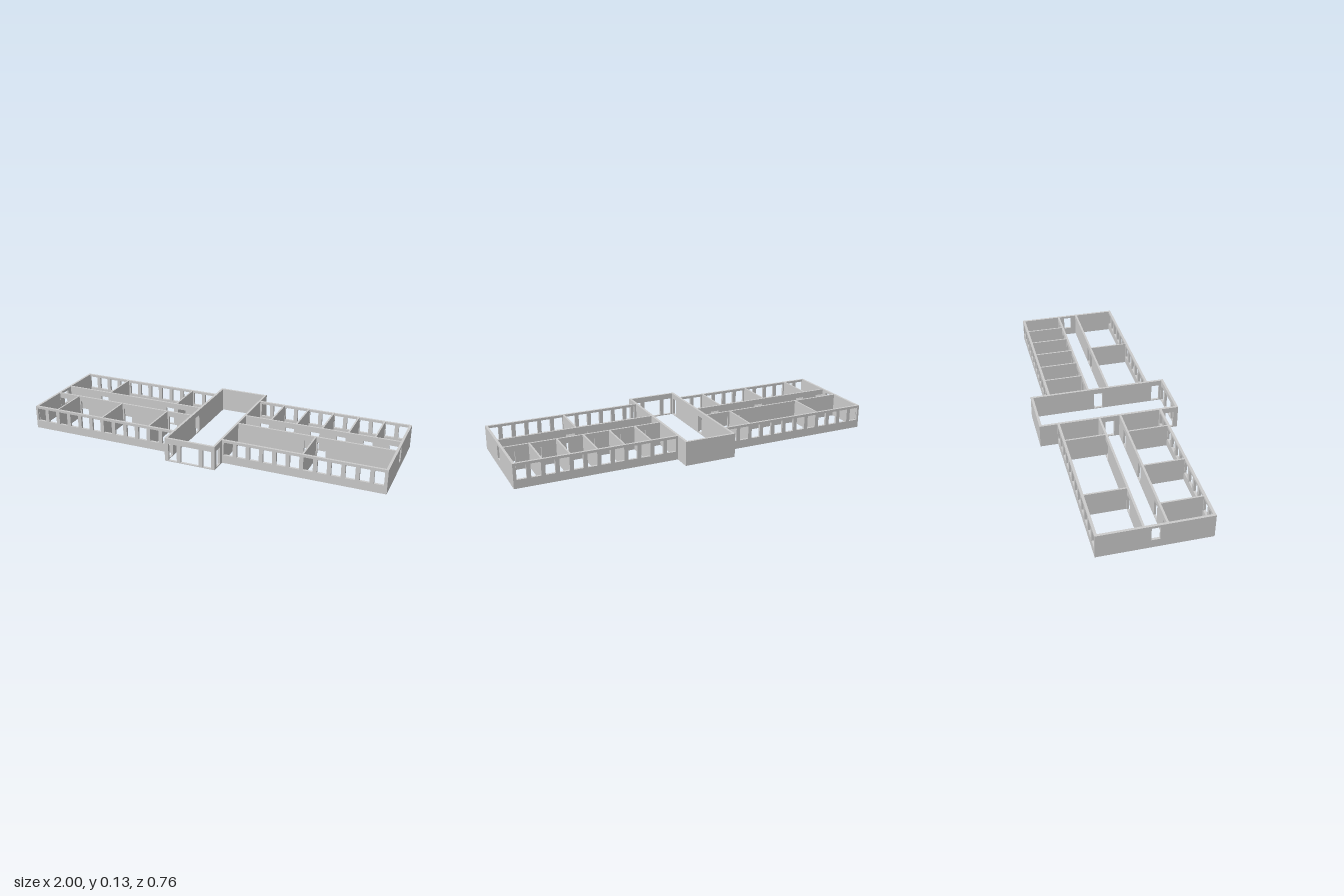
import * as THREE from 'three';

const H = 0.13;          // wall height
const T = 0.013;         // outer wall thickness
const TC = 0.011;        // corridor wall thickness
const TP = 0.009;        // partition thickness
const material = new THREE.MeshStandardMaterial({ color: 0xcccccc, flatShading: true });

// Openings: centre along the wall, width, bottom, top
const windowAt = (c, w = 0.05) => [c, w, 0.045, 0.117];
const doorAt = (c, w = 0.048) => [c, w, 0.005, 0.1];

// Upright wall with rectangular openings, running along x or z, centred on `at` in the other axis
function wall(name, axis, from, to, at, thickness, openings = []) {
  const rect = (target, a, b, y0, y1) => {
    target.moveTo(a, y0);
    target.lineTo(b, y0);
    target.lineTo(b, y1);
    target.lineTo(a, y1);
    target.closePath();
    return target;
  };
  const shape = rect(new THREE.Shape(), from, to, 0, H);
  for (const [c, w, y0, y1] of openings) {
    shape.holes.push(rect(new THREE.Path(), c - w / 2, c + w / 2, y0, y1));
  }
  const geometry = new THREE.ExtrudeGeometry(shape, { depth: thickness, bevelEnabled: false });
  geometry.translate(0, 0, -thickness / 2);
  if (axis === 'z') geometry.rotateY(-Math.PI / 2).translate(at, 0, 0);
  else geometry.translate(0, 0, at);
  const mesh = new THREE.Mesh(geometry, material);
  mesh.name = name;
  return mesh;
}

// Central hall, projecting in front of and behind the wings
const hall = { x0: -0.143, x1: 0.14, z0: -0.381, z1: 0.381 };
const wing = { z0: -0.286, z1: 0.287, corridor: 0.057 };

function createHall() {
  const group = new THREE.Group();
  group.name = 'centralHall';
  group.add(wall('hallFrontWall', 'x', hall.x0, hall.x1, hall.z1 - T / 2, T,
    [doorAt(-0.098), doorAt(-0.001, 0.102), doorAt(0.096)]));
  group.add(wall('hallBackWall', 'x', hall.x0, hall.x1, hall.z0 + T / 2, T));
  for (const [name, x] of [['hallRightWall', hall.x0 + T / 2], ['hallLeftWall', hall.x1 - T / 2]]) {
    group.add(wall(name, 'z', hall.z0 + T, hall.z1 - T, x, T, [doorAt(0), doorAt(0.334, 0.045)]));
  }
  return group;
}

// One wing: outer walls with windows, corridor walls with doors, room partitions
function createWing(name, side, inner, layout) {
  const group = new THREE.Group();
  group.name = name;
  const outer = side;
  const span = (a, b) => [Math.min(a, b), Math.max(a, b)];
  const windows = [];
  for (let i = 0; i < 12; i++) windows.push(windowAt(side * (0.1778 + 0.0712 * i) - 0.0025));

  const [a, b] = span(inner, outer);
  group.add(wall('frontWall', 'x', a, b, wing.z1 - T / 2, T, windows));
  group.add(wall('backWall', 'x', a, b, wing.z0 + T / 2, T, windows));
  group.add(wall('endWall', 'z', wing.z0 + T, wing.z1 - T, outer - side * T / 2, T, [windowAt(0, 0.043)]));

  const [c, d] = span(inner, outer - side * T);
  for (const row of ['front', 'back']) {
    const s = row === 'front' ? 1 : -1;
    const { doors, partitions } = layout[row];
    group.add(wall(row + 'CorridorWall', 'x', c, d, s * wing.corridor, TC, doors.map((x) => doorAt(x))));
    const outerZ = row === 'front' ? wing.z1 - T : wing.z0 + T;
    const [z0, z1] = span(s * (wing.corridor + TC / 2), outerZ);
    for (const x of partitions) group.add(wall(row + 'Partition', 'z', z0, z1, x, TP));
  }
  return group;
}

export function createModel() {
  const model = new THREE.Group();
  model.name = 'buildingFloor';
  model.add(createHall());
  model.add(createWing('rightWing', -1, hall.x0, {
    front: { doors: [-0.962, -0.822, -0.537, -0.252], partitions: [-0.858, -0.574, -0.288] },
    back: { doors: [-0.754, -0.325, -0.252], partitions: [-0.718, -0.288] },
  }));
  model.add(createWing('leftWing', 1, hall.x1, {
    front: { doors: [0.534, 0.605], partitions: [0.571] },
    back: {
      doors: [0.249, 0.392, 0.534, 0.677, 0.82, 0.955],
      partitions: [0.285, 0.428, 0.571, 0.713, 0.855],
    },
  }));
  return model;
}
